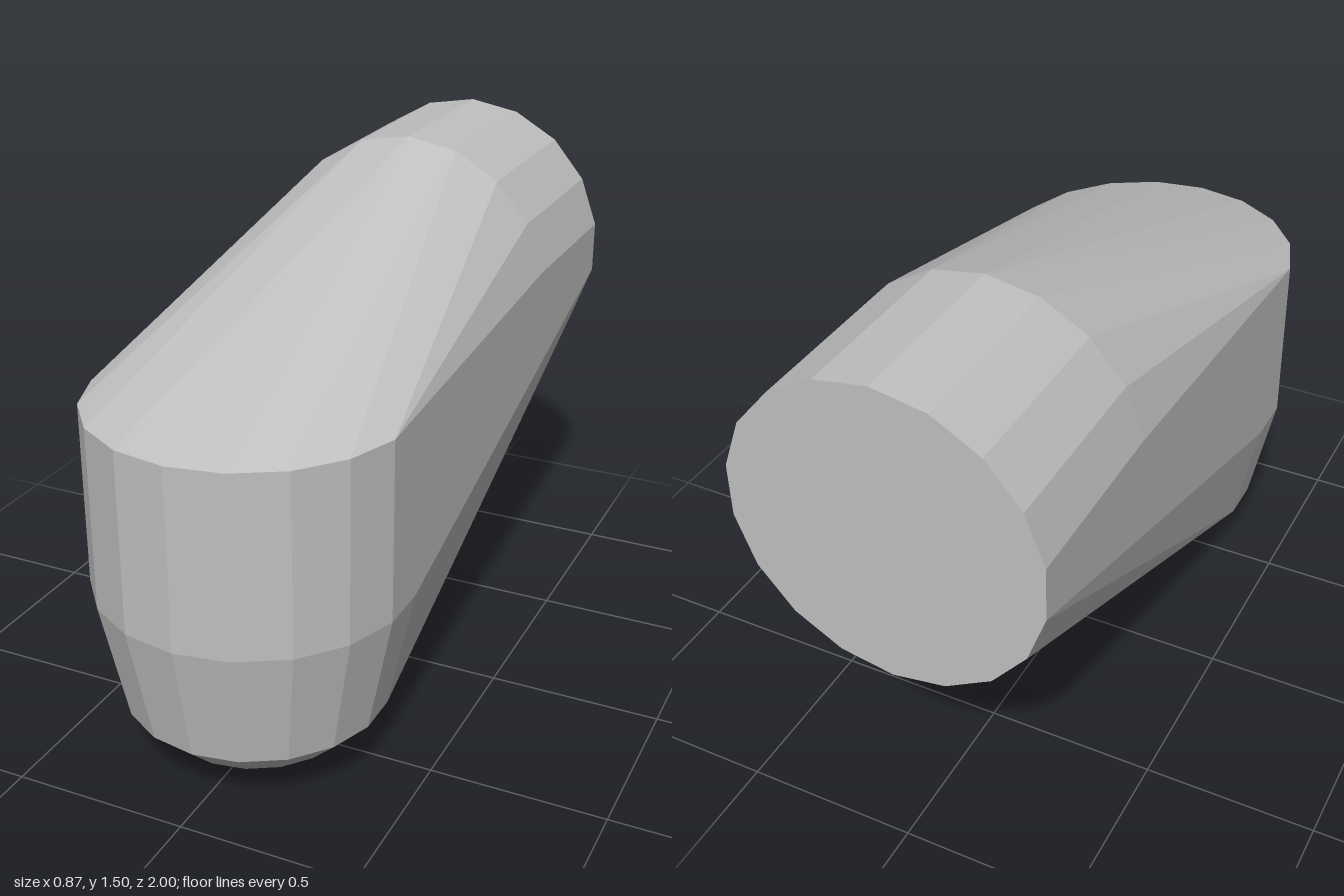
import * as THREE from 'three';
import { ConvexGeometry } from 'three/addons/geometries/ConvexGeometry.js';

const SIDES = 18;
const RADIUS = 0.443;
const FRONT_Z = 0.557; // axis of the upright front end
const BACK_Y = 1.052;  // axis of the level back end

// Ring of points from a function of angle
function ring(place) {
  return Array.from({ length: SIDES }, (_, i) => {
    const a = (i / SIDES) * Math.PI * 2;
    return place(Math.sin(a), Math.cos(a));
  });
}

const levelRing = (r, y) => ring((s, c) => new THREE.Vector3(r * s, y, FRONT_Z + r * c));
const uprightRing = (r, z) => ring((s, c) => new THREE.Vector3(r * s, BACK_Y + r * c, z));

export function createModel() {
  const group = new THREE.Group();
  group.name = 'bentCapsule';
  const grey = new THREE.MeshStandardMaterial({ color: 0xc0c0c0 });
  grey.name = 'light grey';

  const points = [
    // Level back barrel, open end to bend
    ...uprightRing(RADIUS, -1),
    ...uprightRing(RADIUS, -0.46),
    // Upright front barrel and its taper
    ...levelRing(RADIUS, 1.045),
    ...levelRing(RADIUS, 0.53),
    ...levelRing(0.37, 0.18),
    // Shallow rounded foot
    ...levelRing(0.27, 0.085),
    ...levelRing(0.18, 0.036),
    ...levelRing(0.09, 0.008),
    new THREE.Vector3(0, 0, FRONT_Z),
  ];

  // One faceted skin stretched over both barrels
  const body = new THREE.Mesh(new ConvexGeometry(points), grey);
  body.name = 'body';
  group.add(body);
  return group;
}
